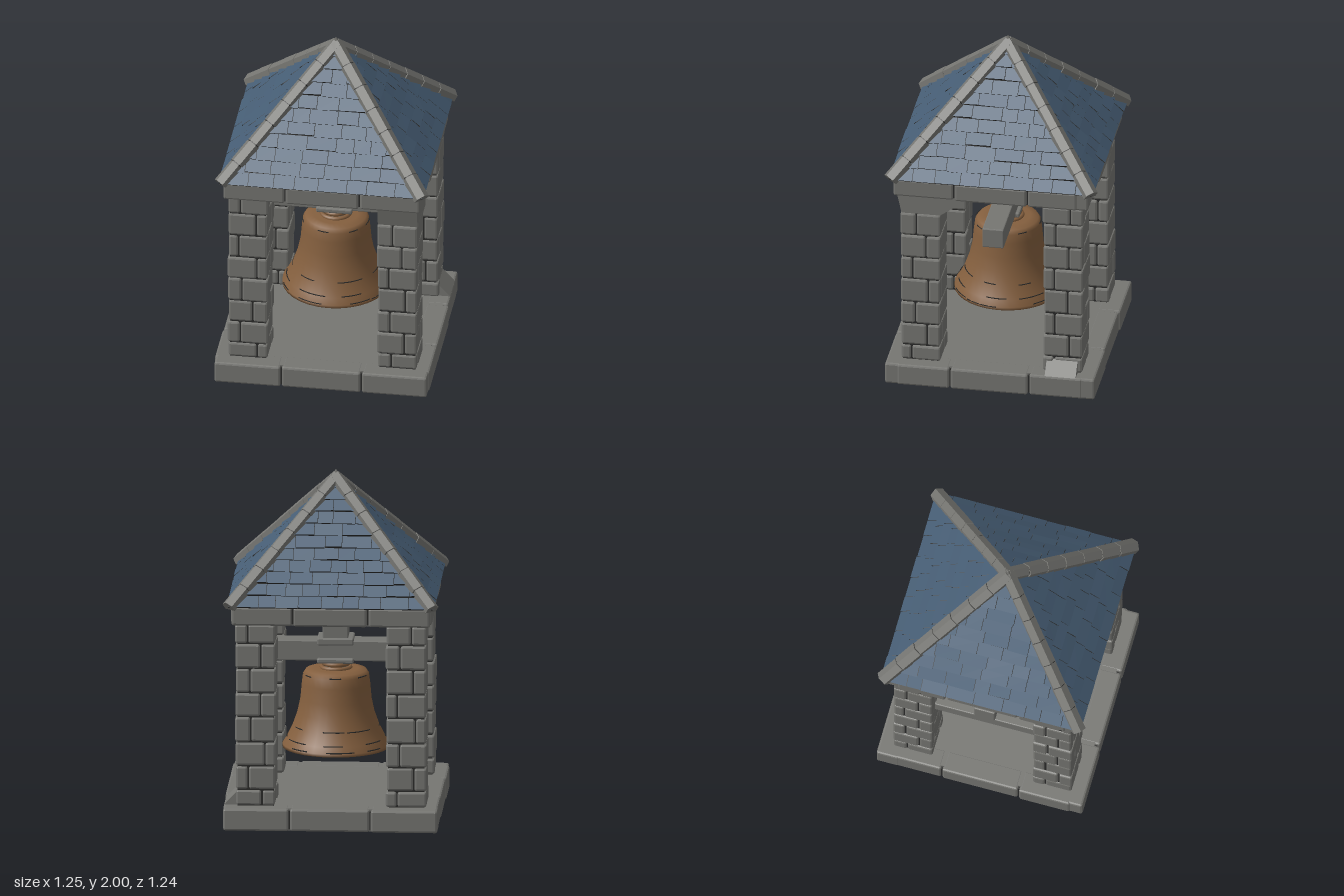
import * as THREE from 'three';
import { RoundedBoxGeometry } from 'three/addons/geometries/RoundedBoxGeometry.js';
import { mergeGeometries } from 'three/addons/utils/BufferGeometryUtils.js';

const stone = new THREE.MeshStandardMaterial({ color: 0x767672 });
stone.name = 'grey stone';
const slate = new THREE.MeshStandardMaterial({ color: 0x465d74, side: THREE.DoubleSide });
slate.name = 'blue slate';
const bronze = new THREE.MeshStandardMaterial({ color: 0x845f3e, side: THREE.DoubleSide });
bronze.name = 'bronze';
const joint = new THREE.MeshStandardMaterial({ color: 0x2b2b2a, side: THREE.DoubleSide });
joint.name = 'dark joint';

// Seeded random in -1..1
let seed = 7;
function rnd() {
  seed = (seed * 16807) % 2147483647;
  return (seed / 2147483647) * 2 - 1;
}

// Chamfered, flat-shaded block between two corners
function block(x0, x1, y0, y1, z0, z1, r = 0.012) {
  const g = new RoundedBoxGeometry(x1 - x0, y1 - y0, z1 - z0, 1, r);
  g.translate((x0 + x1) / 2, (y0 + y1) / 2, (z0 + z1) / 2);
  g.computeVertexNormals();
  return g;
}

function box(x0, x1, y0, y1, z0, z1) {
  return new THREE.BoxGeometry(x1 - x0, y1 - y0, z1 - z0)
    .translate((x0 + x1) / 2, (y0 + y1) / 2, (z0 + z1) / 2);
}

export function createModel() {
  const model = new THREE.Group();
  model.name = 'bellTower';
  const add = (name, geometry, material, parent = model) => {
    const mesh = new THREE.Mesh(geometry, material);
    mesh.name = name;
    parent.add(mesh);
    return mesh;
  };

  // A square ring of edge stones round a plain slab
  function stoneRing(name, hx, hz, y0, y1) {
    const stones = [], cuts = [-1, -0.37, 0.38, 1], g = 0.004, depth = 0.13;
    for (const s of [-1, 1]) {
      for (let i = 0; i < 3; i++) {
        const a = cuts[i], b = cuts[i + 1];
        const ex = hx + rnd() * 0.006, ez = hz + rnd() * 0.006;
        const zs = [s * ez, s * (hz - depth)].sort((p, q) => p - q);
        const xs = [s * ex, s * (hx - depth)].sort((p, q) => p - q);
        stones.push(block(a * hx + g, b * hx - g, y0, y1, zs[0], zs[1]));
        const za = Math.max(a * hz, -(hz - depth)), zb = Math.min(b * hz, hz - depth);
        stones.push(block(xs[0], xs[1], y0, y1, za + (i ? g : -0.06), zb - (i < 2 ? g : -0.06)));
      }
    }
    add(name + 'Stones', mergeGeometries(stones), stone);
    add(name + 'Joints', box(-hx + 0.014, hx - 0.014, y0 + 0.01, y1 - 0.012, -hz + 0.014, hz - 0.014), joint);
    add(name + 'Slab', box(-hx + 0.03, hx - 0.03, y0 + 0.001, y1 - 0.001, -hz + 0.03, hz - 0.03), stone);
  }
  stoneRing('base', 0.62, 0.61, 0, 0.13);
  stoneRing('lintel', 0.575, 0.57, 1.2, 1.31);

  // Corner columns of staggered stones
  const levels = [0.13, 0.225, 0.365, 0.505, 0.655, 0.795, 0.94, 1.085, 1.2];
  for (const sx of [-1, 1]) for (const sz of [-1, 1]) {
    const column = new THREE.Group();
    column.name = `column${sz > 0 ? 'Front' : 'Back'}${sx > 0 ? 'Left' : 'Right'}`;
    column.position.set(sx * 0.433, 0, sz * 0.415);
    model.add(column);
    const stones = [], h = 0.115, g = 0.003;
    for (let i = 0; i < 8; i++) {
      const side = (i % 2 ? 1 : -1) * sx;
      const px = side * 0.04 + rnd() * 0.015, pz = -side * 0.04 + rnd() * 0.015;
      for (const [xa, xb] of [[-h, px - g], [px + g, h]]) {
        for (const [za, zb] of [[-h, pz - g], [pz + g, h]]) {
          const e = rnd() * 0.004;
          stones.push(block(xa - (xa === -h ? e : 0), xb + (xb === h ? e : 0), levels[i] + g,
            levels[i + 1] - g, za - (za === -h ? e : 0), zb + (zb === h ? e : 0)));
        }
      }
    }
    add('columnStones', mergeGeometries(stones), stone, column);
    add('columnJoints', box(-0.104, 0.104, 0.13, 1.2, -0.104, 0.104), joint, column);
  }

  // Surviving corbel and a wedge at a column foot
  const prism = (points, depth) => new THREE.ExtrudeGeometry(
    new THREE.Shape(points.map(p => new THREE.Vector2(...p))), { depth, bevelEnabled: false });
  add('corbel', prism([[0.3, 1.085], [0.525, 1.085], [0.55, 1.2], [0.14, 1.2]], 0.23)
    .rotateY(-Math.PI / 2).translate(0.551, 0, 0), stone);
  add('footWedge', prism([[0.54, 0.13], [0.615, 0.13], [0.54, 0.21]], 0.18).translate(0, 0, -0.5), stone);

  // Beams, post and collars carrying the bell
  add('crossBeam', block(-0.51, 0.51, 0.88, 1.0, -0.062, 0.062, 0.006), stone);
  add('sideBeam', block(-0.48, -0.38, 0.73, 0.815, -0.4, 0.4, 0.006), stone);
  add('post', block(-0.073, 0.073, 1.0, 1.21, -0.073, 0.073, 0.006), stone);
  add('upperCollar', block(-0.105, 0.105, 0.975, 1.018, -0.085, 0.085, 0.008), stone);
  add('lowerCollar', block(-0.105, 0.105, 0.868, 0.898, -0.085, 0.085, 0.008), stone);

  // Bell with hollow inside, crown rings and dark scored lines
  const outer = [[0, 0.828], [0.13, 0.828], [0.175, 0.818], [0.19, 0.795], [0.197, 0.74], [0.205, 0.65],
    [0.222, 0.57], [0.25, 0.49], [0.285, 0.42], [0.308, 0.385], [0.308, 0.368]];
  const inner = [[0.285, 0.368], [0.225, 0.5], [0.18, 0.65], [0.165, 0.78], [0, 0.795]];
  const lathe = pts => new THREE.LatheGeometry(pts.map(p => new THREE.Vector2(...p)).reverse(), 32);
  add('bell', lathe([...outer, inner[0]]), bronze);
  add('bellInside', lathe(inner), bronze);
  add('hanger', new THREE.CylinderGeometry(0.06, 0.075, 0.06, 16).translate(0, 0.85, 0), stone);
  [[0.082, 0.832], [0.07, 0.856]].forEach(([r, y]) =>
    add('crownRing', new THREE.TorusGeometry(r, 0.013, 8, 24).rotateX(Math.PI / 2).translate(0, y, 0), bronze));
  const scores = [];
  for (const [r, y] of [[0.19, 0.797], [0.247, 0.498], [0.283, 0.424], [0.306, 0.388]]) {
    for (let k = 0; k < 7; k++) {
      scores.push(new THREE.TorusGeometry(r, 0.0035, 4, 8, 0.45 + rnd() * 0.2)
        .rotateX(Math.PI / 2).rotateY(k * 0.9 + rnd() * 0.2).translate(0, y + rnd() * 0.005, 0));
    }
  }
  add('bellScores', mergeGeometries(scores), joint);

  // Roof: dark underlay with courses of separate slates
  const E = 0.588, Y0 = 1.31, H = 0.65, N = 11;
  const under = new THREE.ConeGeometry(E * Math.SQRT2, H, 4, 1).rotateY(Math.PI / 4).translate(0, Y0 + H / 2, 0);
  add('roofUnderlay', under, joint);
  const len = Math.hypot(E, H), ny = E / len, nz = H / len;
  const at = (x, t, lift) => [x, Y0 + H * t + ny * lift, E * (1 - t) + nz * lift];
  const quad = (a, b, c, d) => [...a, ...b, ...c, ...a, ...c, ...d];
  const mesh = values => {
    const g = new THREE.BufferGeometry();
    g.setAttribute('position', new THREE.Float32BufferAttribute(values, 3));
    g.computeVertexNormals();
    return g;
  };
  for (let f = 0; f < 4; f++) {
    const tops = [], lips = [];
    for (let i = 0; i < N; i++) {
      const t0 = i / N, t1 = (i + 1) / N, w0 = E * (1 - t0), w1 = E * (1 - t1);
      const clamp = x => Math.max(-w1, Math.min(w1, x));
      let x = -w0;
      while (x < w0 - 0.001) {
        let end = x + 0.13 + rnd() * 0.045;
        if (end > w0 - 0.06) end = w0;
        const a = x + 0.0015, b = end - 0.0015, tb = t0 + (i ? rnd() * 0.006 : 0), lift = 0.012 + rnd() * 0.003;
        const p = at(a, tb, lift), q = at(b, tb + (i ? rnd() * 0.005 : 0), lift);
        tops.push(...quad(p, q, at(clamp(b), t1, 0.003), at(clamp(a), t1, 0.003)));
        lips.push(...quad(at(a, tb, 0), at(b, tb, 0), q, p));
        x = end;
      }
    }
    add('roofSlates', mesh(tops), slate).rotation.y = f * Math.PI / 2;
    add('slateShadowGaps', mesh(lips), joint).rotation.y = f * Math.PI / 2;
  }

  // Hip caps: ridged stones climbing each corner to the peak
  const profile = [[-0.04, -0.035], [0.04, -0.035], [0.04, 0.002], [0, 0.026], [-0.04, 0.002]];
  const peak = new THREE.Vector3(0, 1.966, 0);
  for (const sx of [-1, 1]) for (const sz of [-1, 1]) {
    const foot = new THREE.Vector3(sx * 0.592, 1.325, sz * 0.592);
    const dir = peak.clone().sub(foot), L = dir.length();
    dir.normalize();
    const across = new THREE.Vector3(0, 1, 0).cross(dir).normalize();
    const basis = new THREE.Matrix4().makeBasis(across, dir.clone().cross(across), dir).setPosition(foot);
    const caps = [];
    for (let i = 0; i < 7; i++) {
      const s = 1 + rnd() * 0.06;
      caps.push(prism(profile.map(([u, v]) => [u * s, v * s]), L / 7 - (i < 6 ? 0.005 : 0))
        .translate(0, 0, i * L / 7).applyMatrix4(basis));
    }
    add('hipCaps', mergeGeometries(caps), stone);
    add('hipJoints', prism(profile.map(([u, v]) => [u * 0.88, v * 0.8]), L - 0.02)
      .translate(0, 0, 0.01).applyMatrix4(basis), joint);
  }
  add('peakCap', new THREE.ConeGeometry(0.045, 0.06, 4).rotateY(Math.PI / 4).translate(0, 1.97, 0), stone);
  return model;
}
